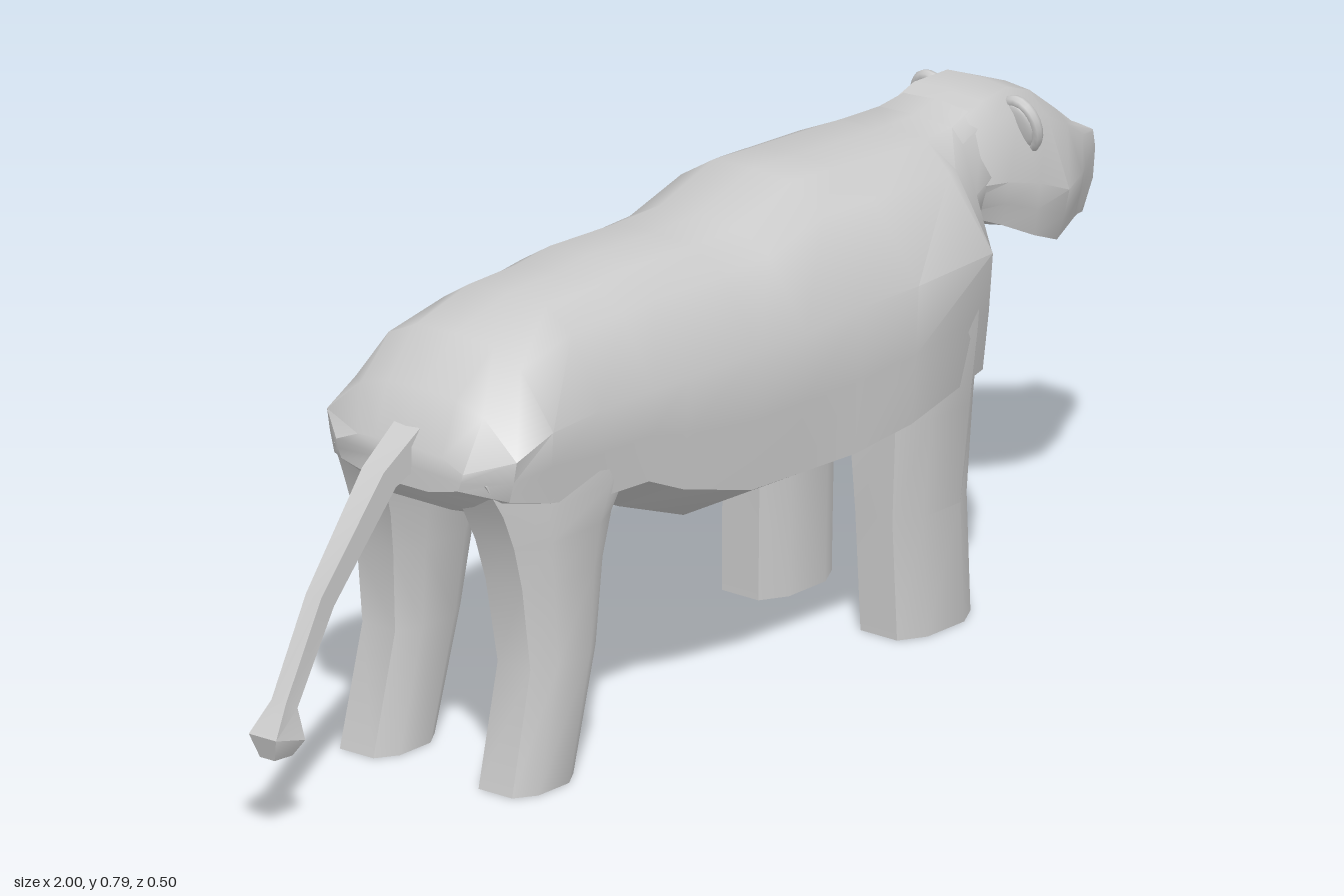
import * as THREE from 'three';
import { toCreasedNormals } from 'three/addons/utils/BufferGeometryUtils.js';

const material = new THREE.MeshStandardMaterial({ color: 0xcccccc });
const lerp = THREE.MathUtils.lerp;

// Skin a list of closed rings (arrays of [x, y, z]) and cap both ends.
function loft(name, rings, crease = 0.6) {
  const n = rings[0].length, pos = rings.flat(2), idx = [];
  const at = (r, i) => r * n + (i % n);
  for (let r = 0; r < rings.length - 1; r++)
    for (let i = 0; i < n; i++) {
      idx.push(at(r, i), at(r, i + 1), at(r + 1, i));
      idx.push(at(r, i + 1), at(r + 1, i + 1), at(r + 1, i));
    }
  [0, rings.length - 1].forEach((r) => {
    const c = pos.length / 3;
    for (let k = 0; k < 3; k++) pos.push(rings[r].reduce((s, p) => s + p[k] / n, 0));
    for (let i = 0; i < n; i++)
      idx.push(c, ...(r ? [at(r, i), at(r, i + 1)] : [at(r, i + 1), at(r, i)]));
  });
  // Turn the faces outward when the rings run the other way round
  const P = (i) => new THREE.Vector3().fromArray(pos, i * 3);
  let volume = 0;
  for (let i = 0; i < idx.length; i += 3)
    volume += P(idx[i]).dot(P(idx[i + 1]).cross(P(idx[i + 2])));
  if (volume < 0) idx.reverse();
  const geo = new THREE.BufferGeometry();
  geo.setAttribute('position', new THREE.Float32BufferAttribute(pos, 3));
  geo.setIndex(idx);
  const mesh = new THREE.Mesh(toCreasedNormals(geo, crease), material);
  mesh.name = name;
  return mesh;
}

// Mirrored cross-section of torso or head; slant leans it along x.
function trunkRing([x, top, wTop, wMid, yMid, wLow, yLow, yBelly, slant = 0]) {
  const half = [
    [wTop, top - 0.004],
    [lerp(wTop, wMid, 0.45), lerp(top, yMid, 0.25)],
    [wMid, yMid],
    [lerp(wMid, wLow, 0.4), lerp(yMid, yLow, 0.5)],
    [wLow, yLow],
    [Math.min(0.06, wLow * 0.6), yBelly],
  ];
  const outline = [[0, top], ...half, [0, yBelly], ...half.map(([z, y]) => [-z, y]).reverse()];
  return outline.map(([z, y]) => [x + slant * (y - top), y, z]);
}

// Eight-sided leg section: a rectangle with cut corners.
function legRing([y, x0, x1, z0, z1], side) {
  const cx = (x1 - x0) * 0.25, cz = (z1 - z0) * 0.2;
  return [
    [x0 + cx, z0], [x1 - cx, z0], [x1, z0 + cz], [x1, z1 - cz],
    [x1 - cx, z1], [x0 + cx, z1], [x0, z1 - cz], [x0, z0 + cz],
  ].map(([x, z]) => [x, y, z * side]);
}

export function createModel() {
  const group = new THREE.Group();
  group.name = 'animal';

  // Torso: x, top, top width, mid width and height, low width and height, belly
  group.add(loft('torso', [
    [-0.665, 0.575, 0.05, 0.13, 0.55, 0.12, 0.52, 0.505],
    [-0.61, 0.65, 0.07, 0.195, 0.57, 0.18, 0.5, 0.46],
    [-0.53, 0.72, 0.08, 0.203, 0.6, 0.195, 0.48, 0.43],
    [-0.4, 0.75, 0.08, 0.195, 0.6, 0.187, 0.45, 0.42],
    [-0.28, 0.75, 0.08, 0.2, 0.6, 0.19, 0.445, 0.41],
    [-0.2, 0.758, 0.08, 0.206, 0.6, 0.195, 0.41, 0.35],
    [-0.04, 0.75, 0.08, 0.214, 0.6, 0.2, 0.365, 0.29],
    [0.07, 0.75, 0.08, 0.22, 0.6, 0.205, 0.363, 0.3],
    [0.2, 0.79, 0.08, 0.227, 0.61, 0.21, 0.36, 0.32],
    [0.31, 0.782, 0.08, 0.25, 0.62, 0.235, 0.385, 0.335],
    [0.5, 0.77, 0.08, 0.243, 0.62, 0.222, 0.42, 0.385],
    [0.53, 0.768, 0.08, 0.215, 0.61, 0.19, 0.45, 0.41],
    [0.6, 0.767, 0.075, 0.125, 0.66, 0.1, 0.58, 0.54],
    [0.66, 0.78, 0.065, 0.115, 0.68, 0.095, 0.615, 0.595],
  ].map(trunkRing), 0.75));

  // Head, ending in a slanted flat muzzle
  group.add(loft('head', [
    [0.6, 0.762, 0.07, 0.115, 0.67, 0.09, 0.62, 0.6],
    [0.68, 0.787, 0.07, 0.125, 0.66, 0.11, 0.585, 0.59],
    [0.75, 0.79, 0.06, 0.13, 0.64, 0.118, 0.55, 0.57],
    [0.82, 0.762, 0.05, 0.132, 0.61, 0.106, 0.52, 0.545],
    [0.89, 0.71, 0.045, 0.1, 0.61, 0.085, 0.535, 0.535],
    [0.955, 0.66, 0.038, 0.06, 0.6, 0.055, 0.52, 0.515, 0.15],
    [0.99, 0.645, 0.037, 0.038, 0.61, 0.037, 0.51, 0.5, 0],
  ].map((row) => trunkRing(row)).map((ring, i) => i < 6 ? ring
    // muzzle tip: bulges at the nose, cut back to the chin
    : ring.map(([x, y, z]) => [y > 0.58 ? x + (0.645 - y) * 0.15 : 1 - (0.58 - y) * 0.5, y, z]))));

  // Legs: y, back, front, inner, outer
  const frontLeg = [
    [0, 0.34, 0.52, 0.08, 0.205],
    [0.2, 0.335, 0.517, 0.073, 0.2],
    [0.37, 0.325, 0.515, 0.06, 0.222],
    [0.5, 0.33, 0.518, 0.06, 0.236],
    [0.605, 0.35, 0.52, 0.1, 0.24],
  ];
  const hindLeg = [
    [0, -0.6, -0.45, 0.085, 0.2],
    [0.2, -0.55, -0.39, 0.083, 0.195],
    [0.34, -0.567, -0.37, 0.07, 0.195],
    [0.41, -0.583, -0.345, 0.06, 0.194],
    [0.47, -0.607, -0.3, 0.05, 0.194],
    [0.53, -0.64, -0.29, 0.04, 0.185],
  ];
  // The model faces +x, so its sides lie along z
  for (const side of [1, -1]) {
    group.add(loft('frontLeg', frontLeg.map((r) => legRing(r, side))));
    group.add(loft('hindLeg', hindLeg.map((r) => legRing(r, side))));

    // Ear: rim ring with a thin bowl behind it
    const ear = new THREE.Group();
    ear.name = 'ear';
    const rim = new THREE.Mesh(new THREE.TorusGeometry(0.04, 0.01, 8, 20), material);
    rim.name = 'earRim';
    const bowl = new THREE.Mesh(new THREE.SphereGeometry(0.038, 16, 8), material);
    bowl.name = 'earBowl';
    bowl.scale.z = 0.2;
    bowl.position.z = -0.008;
    ear.add(rim, bowl);
    ear.scale.set(0.85, 1.05, 1);
    ear.rotation.set(0, Math.PI / 2, 0.25, 'ZYX');
    ear.position.set(0.75, 0.73, 0.09 * side);
    group.add(ear);
  }

  // Tail: x, y, half thickness, half width, ending in a tuft
  const tail = [
    [-0.62, 0.58, 0.03, 0.027],
    [-0.715, 0.53, 0.022, 0.022],
    [-0.86, 0.365, 0.019, 0.016],
    [-0.947, 0.215, 0.016, 0.015],
    [-0.965, 0.165, 0.037, 0.028],
    [-0.967, 0.133, 0.022, 0.015],
  ];
  group.add(loft('tail', tail.map(([x, y, t, w], i) => {
    const a = tail[Math.max(i - 1, 0)], b = tail[Math.min(i + 1, tail.length - 1)];
    const len = Math.hypot(b[0] - a[0], b[1] - a[1]);
    const nx = -(b[1] - a[1]) / len, ny = (b[0] - a[0]) / len;
    return [[1, 1], [1, -1], [-1, -1], [-1, 1]].map(([s, c]) =>
      [x + nx * t * s, y + ny * t * s, w * c]);
  })));

  return group;
}
